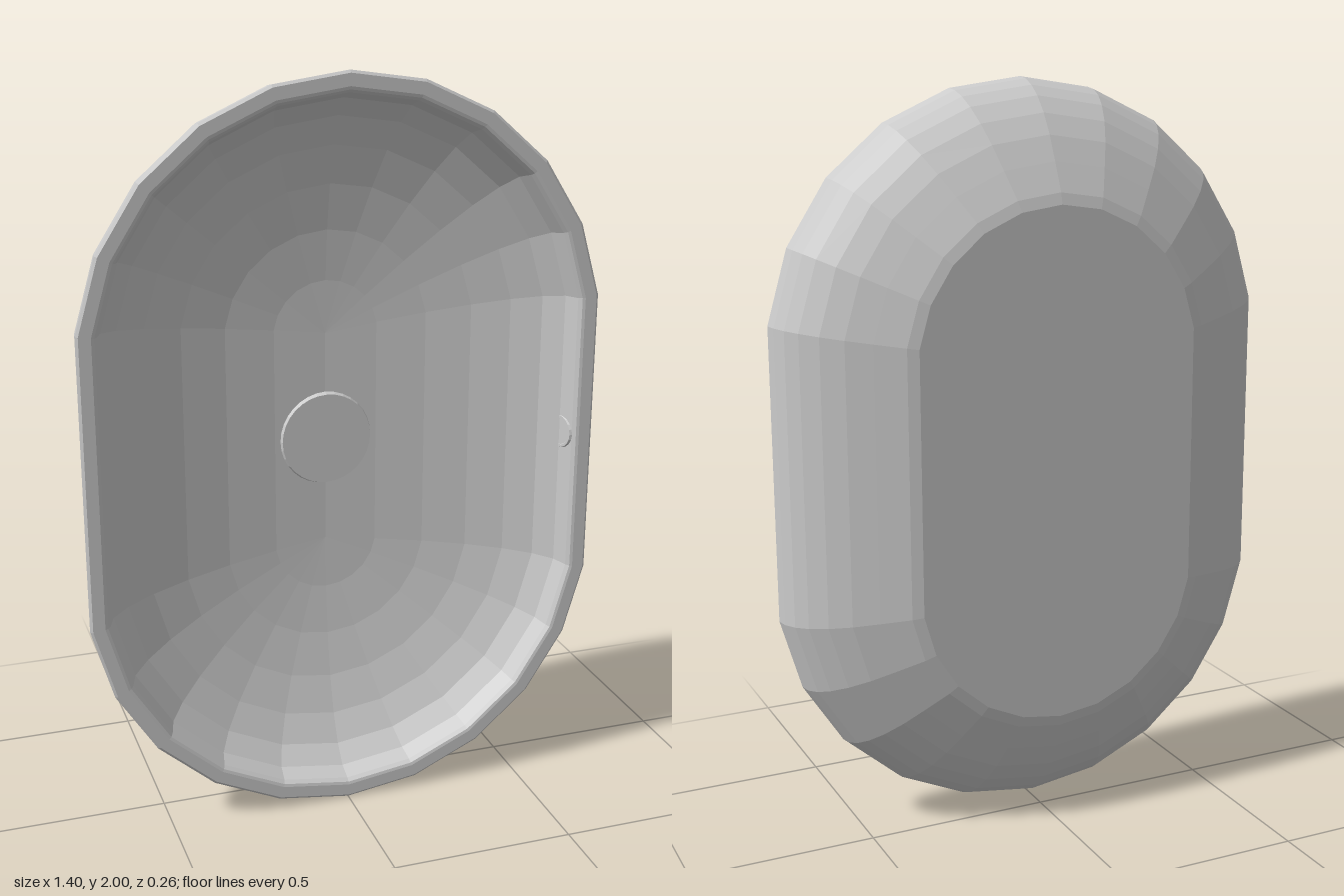
import * as THREE from 'three';

const RIM_Z = 0.125, ARC_Y = 0.293, SPREAD = THREE.MathUtils.degToRad(82), SEGS = 10;

// One closed outline at distance r from the vertical centre line: arc over the top, arc under the bottom
function outline(r, z) {
  const pts = [];
  for (const s of [1, -1]) {
    for (let i = 0; i <= SEGS; i++) {
      const a = s * SPREAD * (1 - (2 * i) / SEGS);
      pts.push([r * Math.sin(a), 1 + s * (ARC_Y + r * Math.cos(a)), z]);
    }
  }
  return pts;
}

// Joins successive outlines, given as [r, z], into one skin
function loft(profile) {
  const rings = profile.map(([r, z]) => outline(r, z));
  const n = rings[0].length, pos = [];
  for (let k = 0; k < rings.length - 1; k++) {
    for (let i = 0; i < n; i++) {
      const j = (i + 1) % n, arc = i % (SEGS + 1) !== SEGS;
      const a = rings[k][i], b = rings[k + 1][i], c = rings[k + 1][j], d = rings[k][j];
      // Arc steps shrink to a point where r = 0
      if (!(arc && profile[k + 1][0] === 0)) pos.push(...a, ...b, ...c);
      else pos.push(...a, ...b, ...d);
      if (!(arc && (profile[k][0] === 0 || profile[k + 1][0] === 0))) pos.push(...a, ...c, ...d);
    }
  }
  const geo = new THREE.BufferGeometry();
  geo.setAttribute('position', new THREE.Float32BufferAttribute(pos, 3));
  geo.computeVertexNormals();
  return geo;
}

export function createModel() {
  const group = new THREE.Group();
  const mat = new THREE.MeshStandardMaterial({ color: 0xcccccc, flatShading: true });
  const add = (name, geo) => {
    const mesh = new THREE.Mesh(geo, mat);
    mesh.name = name;
    group.add(mesh);
    return mesh;
  };

  // Basin shell: dished inside, rounded rim, curved outside, flat back
  const profile = [];
  for (let i = 0; i <= 7; i++) {
    const t = (i / 7) * Math.PI / 2;
    profile.push([0.652 * Math.sin(t), 0.118 - 0.195 * Math.cos(t)]);
  }
  profile.push([0.66, 0.128], [0.668, 0.13], [0.7, 0.13], [0.707, 0.124]);
  for (const deg of [83, 76, 69, 61, 53, 45]) {
    const t = THREE.MathUtils.degToRad(deg);
    profile.push([0.707 * Math.sin(t), RIM_Z - 0.3 * Math.cos(t)]);
  }
  profile.push([0.425, -0.122], [0.395, -0.13], [0, -0.13]);
  add('basin', loft(profile));

  // Drain cover on the floor
  const drain = add('drainCover', new THREE.CylinderGeometry(0.125, 0.132, 0.02, 32));
  drain.rotation.x = Math.PI / 2;
  drain.position.set(0, 1, -0.073);

  // Overflow ring and plug on the left wall
  const overflow = new THREE.Group();
  overflow.name = 'overflow';
  const ring = new THREE.Mesh(new THREE.TorusGeometry(0.042, 0.007, 6, 20), mat);
  ring.name = 'overflowRing';
  const plug = new THREE.Mesh(new THREE.CylinderGeometry(0.04, 0.04, 0.008, 20), mat);
  plug.name = 'overflowPlug';
  plug.rotation.x = Math.PI / 2;
  overflow.add(ring, plug);
  overflow.position.set(0.634, 1, 0.072);
  overflow.rotation.y = -Math.PI / 2 + 0.25;
  group.add(overflow);

  return group;
}
